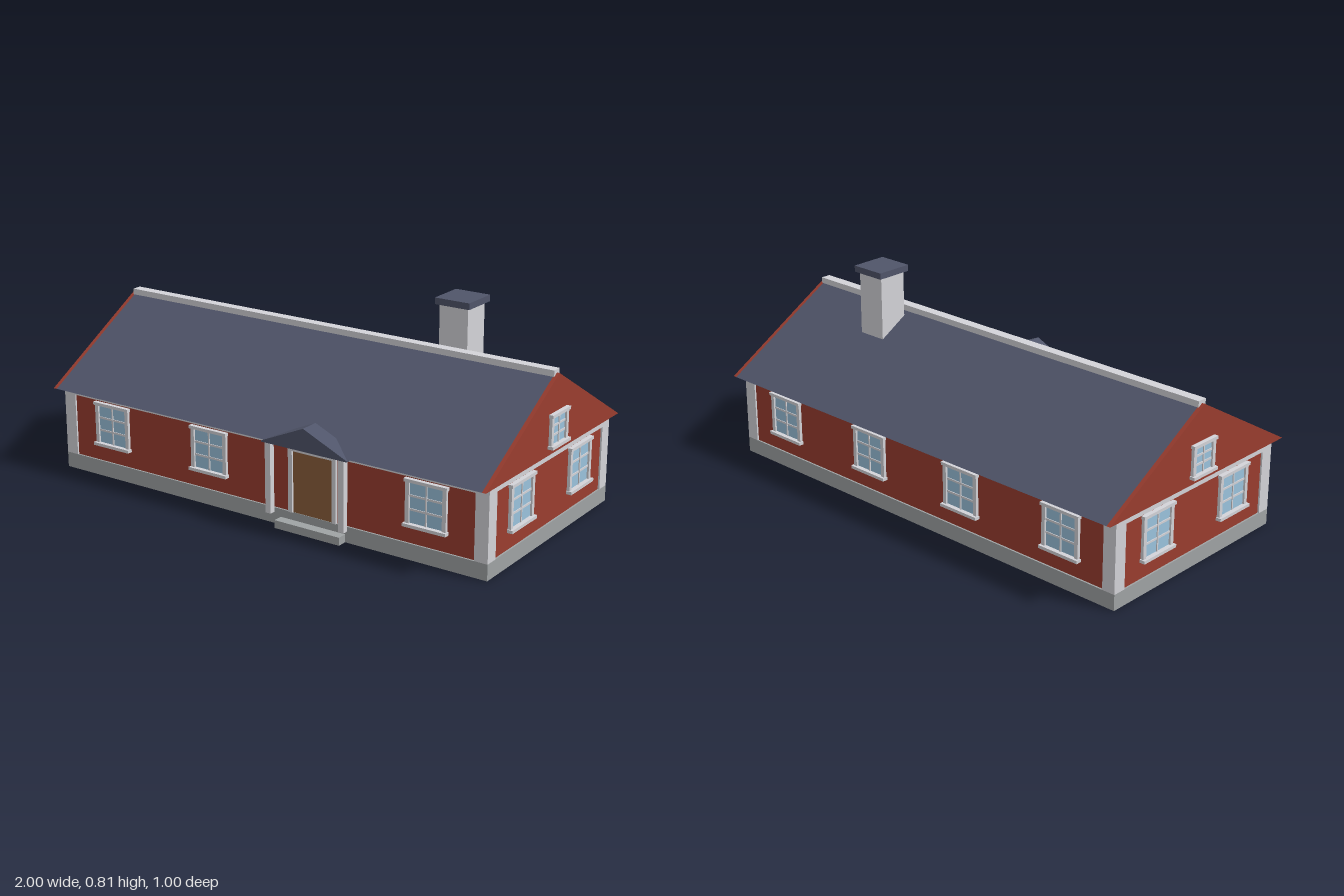
import * as THREE from 'three';

const mat = (name, color) => {
  const m = new THREE.MeshStandardMaterial({ color });
  m.name = name;
  return m;
};

export function createModel() {
  const red = mat('red timber', 0x9a3d2f);
  const white = mat('white trim', 0xd4d4d9);
  const stone = mat('foundation grey', 0x9fa3a4);
  const slate = mat('slate roof', 0x50556a);
  const glass = mat('window glass', 0x9bc3dd);
  const wood = mat('brown door', 0x8b5e3c);

  const model = new THREE.Group();
  model.name = 'cottage';
  const house = new THREE.Group();
  house.name = 'house';
  house.position.z = -0.003;
  model.add(house);

  // Box given by its lower and upper limits on each axis
  const box = (parent, name, m, x0, x1, y0, y1, z0, z1) => {
    const mesh = new THREE.Mesh(new THREE.BoxGeometry(x1 - x0, y1 - y0, z1 - z0), m);
    mesh.position.set((x0 + x1) / 2, (y0 + y1) / 2, (z0 + z1) / 2);
    mesh.name = name;
    parent.add(mesh);
    return mesh;
  };

  // Solid from an outline in x and y, extruded along z
  const prism = (parent, name, m, points, depth) => {
    const shape = new THREE.Shape(points.map(([x, y]) => new THREE.Vector2(x, y)));
    const geo = new THREE.ExtrudeGeometry(shape, { depth, bevelEnabled: false });
    const mesh = new THREE.Mesh(geo, m);
    mesh.name = name;
    parent.add(mesh);
    return mesh;
  };

  // Six-pane window facing +z, with its sill at y = 0
  const addWindow = (name, w, h, x, y, z, turn) => {
    const g = new THREE.Group();
    g.name = name;
    const a = w / 2, s = 0.016, t = 0.012;
    box(g, 'glass', glass, -a + s, a - s, t, h - t, 0, 0.004);
    for (const side of [-1, 1]) {
      const c = side * (a - s / 2);
      box(g, 'sideCasing', white, c - s / 2, c + s / 2, t, h - t, 0, 0.012);
    }
    box(g, 'topCasing', white, -a - 0.004, a + 0.004, h - t, h, 0, 0.017);
    box(g, 'sill', white, -a - 0.005, a + 0.005, 0, t, 0, 0.022);
    box(g, 'mullion', white, -0.003, 0.003, t, h - t, 0, 0.008);
    for (const i of [1, 2]) {
      const c = t + (h - 2 * t) * i / 3;
      box(g, 'glazingBar', white, -a + s, a - s, c - 0.004, c + 0.004, 0, 0.007);
    }
    g.position.set(x, y, z);
    g.rotation.y = turn;
    house.add(g);
  };

  const X = 0.965, Z = 0.449;      // outer half size of the house
  const WX = X - 0.007, WZ = Z - 0.007; // wall planes

  // Foundation, walls and trim
  box(house, 'foundation', stone, -X, X, 0, 0.062, -Z, Z);
  box(house, 'walls', red, -WX, WX, 0.062, 0.335, -WZ, WZ);
  box(house, 'frieze', white, -X, X, 0.312, 0.34, -Z, Z);
  for (const sx of [-1, 1]) {
    for (const sz of [-1, 1]) {
      const cx = sx * (X - 0.027), cz = sz * (Z - 0.027);
      box(house, 'cornerBoard', white, cx - 0.027, cx + 0.027, 0.062, 0.312, cz - 0.027, cz + 0.027);
    }
  }

  // Main roof with red gable ends and a ridge cap
  const gable = [[-0.498, 0.34], [0.498, 0.34], [0, 0.63]];
  const roof = prism(house, 'roof', slate, gable, 1.924);
  roof.rotation.y = Math.PI / 2;
  roof.position.x = -0.962;
  for (const x of [-0.978, 0.962]) {
    const end = prism(house, 'gableEnd', red, gable, 0.016);
    end.rotation.y = Math.PI / 2;
    end.position.x = x;
  }
  box(house, 'ridgeCap', white, -0.967, 0.967, 0.605, 0.642, -0.02, 0.02);

  // Chimney
  box(house, 'chimney', white, 0.46, 0.58, 0.5, 0.79, -0.159, -0.04);
  box(house, 'chimneyCap', slate, 0.448, 0.593, 0.79, 0.815, -0.174, -0.025);

  // Windows on all four sides
  const W = 0.167, H = 0.178, Y = 0.128;
  for (const x of [-0.72, -0.24, 0.716]) addWindow('frontWindow', W, H, x, Y, WZ, 0);
  for (const x of [-0.72, -0.24, 0.24, 0.72]) addWindow('backWindow', W, H, x, Y, -WZ, Math.PI);
  for (const side of [-1, 1]) {
    const turn = side * Math.PI / 2;
    for (const z of [-0.219, 0.219]) addWindow('sideWindow', W, H, side * WX, Y, z, turn);
    addWindow('gableWindow', 0.126, 0.128, side * 0.978, 0.366, 0, turn);
  }

  // Front door with its frame and step
  const DX = 0.236;
  box(house, 'door', wood, DX - 0.087, DX + 0.087, 0.062, 0.302, WZ, WZ + 0.005);
  for (const side of [-1, 1]) {
    const c = DX + side * 0.096;
    box(house, 'doorJamb', white, c - 0.009, c + 0.009, 0.062, 0.302, WZ, WZ + 0.013);
  }
  box(house, 'doorHead', white, DX - 0.105, DX + 0.105, 0.302, 0.32, WZ, WZ + 0.013);
  box(house, 'doorStep', stone, DX - 0.143, DX + 0.143, 0, 0.031, Z, 0.488);

  // Porch posts and small gabled porch roof
  for (const side of [-1, 1]) {
    const c = DX + side * 0.161;
    box(house, 'porchPost', white, c - 0.012, c + 0.012, 0.06, 0.334, 0.48, 0.503);
  }
  const porch = prism(house, 'porchRoof', slate, [
    [DX - 0.186, 0.333], [DX + 0.186, 0.333], [DX + 0.186, 0.338], [DX, 0.42], [DX - 0.186, 0.338],
  ], 0.077);
  porch.position.z = 0.429;

  return model;
}
